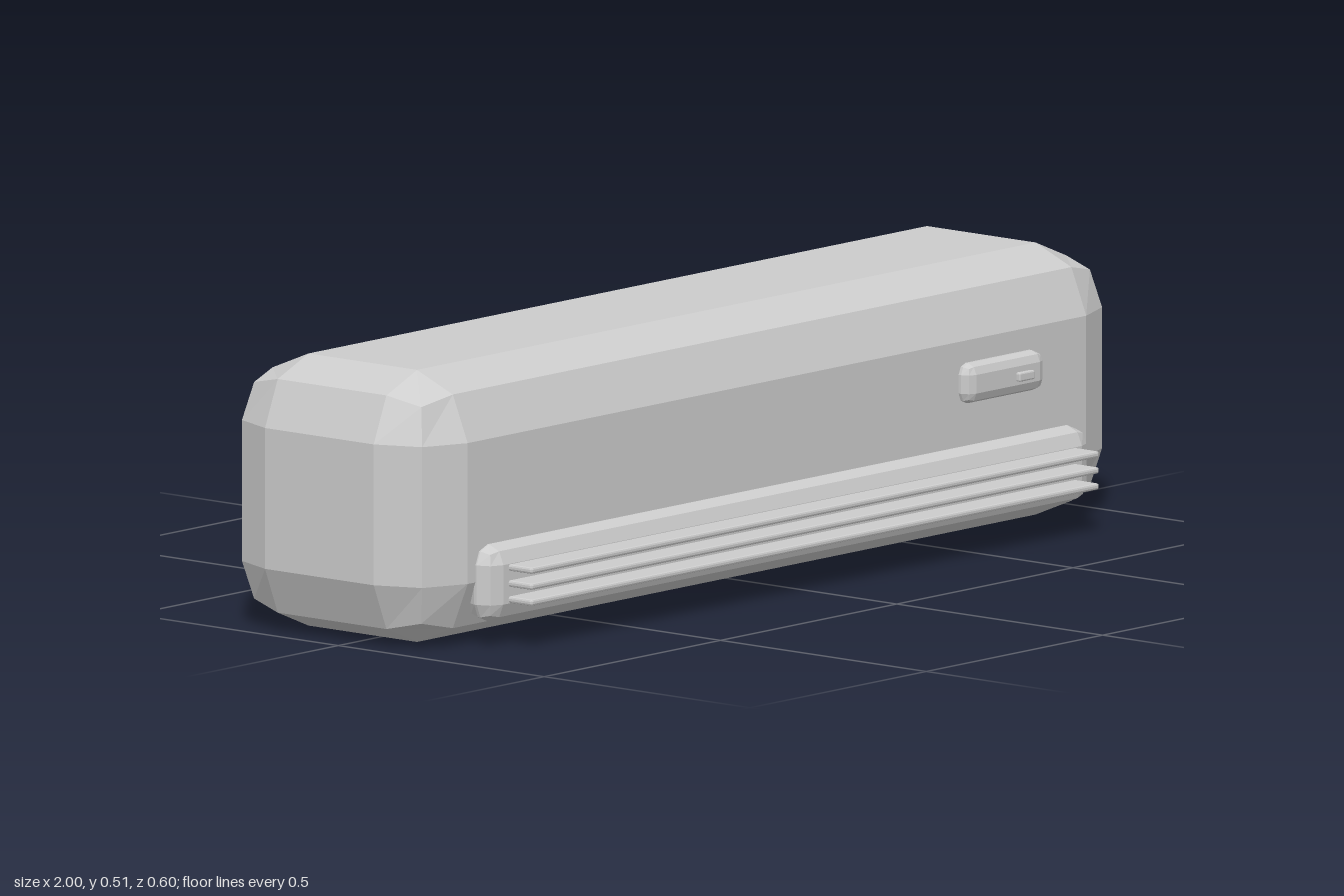
import * as THREE from 'three';
import { RoundedBoxGeometry } from 'three/addons/geometries/RoundedBoxGeometry.js';

export function createModel() {
  const model = new THREE.Group();
  model.name = 'wallAirConditioner';

  const casingGrey = new THREE.MeshStandardMaterial({ color: 0xcccccc, flatShading: true });
  casingGrey.name = 'casingGrey';

  // Box with two-facet bevelled edges
  function addBevelledBox(name, size, radius, position) {
    const mesh = new THREE.Mesh(new RoundedBoxGeometry(...size, 1, radius), casingGrey);
    mesh.name = name;
    mesh.position.set(...position);
    model.add(mesh);
  }

  const frontZ = 0.209; // front plane of the casing

  // Main casing
  addBevelledBox('casing', [2, 0.51, 0.51], 0.123, [0, 0.255, -0.046]);

  // Air outlet along the lower front
  addBevelledBox('outletFrame', [1.71, 0.144, 0.076], 0.035, [0, 0.118, frontZ]);

  // Louvre slats standing out of the outlet
  for (let i = 0; i < 3; i++) {
    addBevelledBox('louvreSlat' + (i + 1), [1.61, 0.012, 0.1], 0.004, [0, 0.088 + i * 0.03, 0.253]);
  }

  // Display panel with its indicator
  addBevelledBox('displayPanel', [0.22, 0.075, 0.052], 0.02, [0.625, 0.308, frontZ]);
  addBevelledBox('indicator', [0.043, 0.017, 0.02], 0.003, [0.67, 0.306, 0.234]);

  return model;
}
